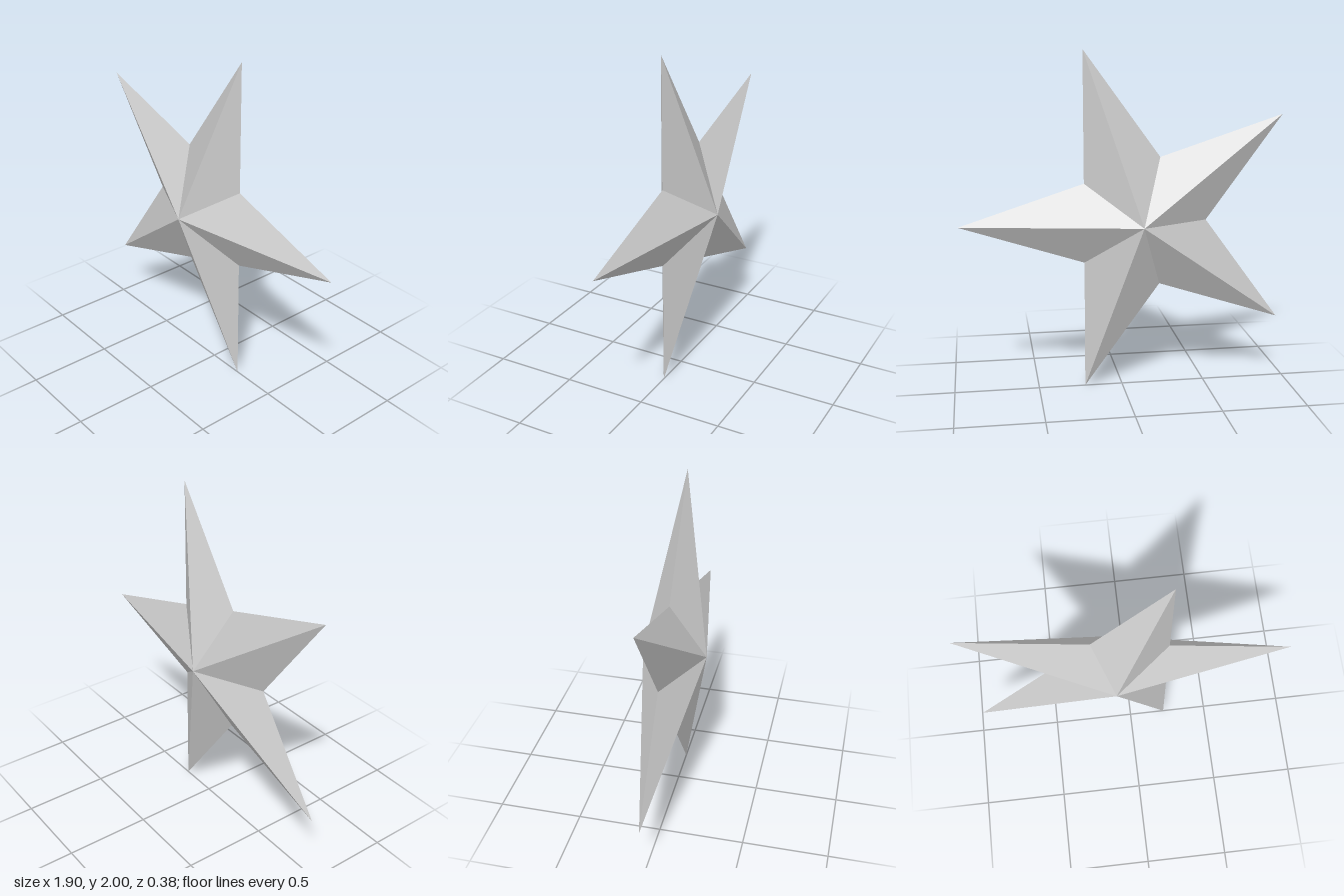
import * as THREE from 'three';

const TIP_RADIUS = 1.0515, NOTCH_RADIUS = 0.4, HALF_DEPTH = 0.188, POINTS = 5;

// Faceted star: an outline in the xy plane joined to a front and a back apex.
function starGeometry() {
  const count = POINTS * 2;
  const positions = [];
  const index = [];
  for (let i = 0; i < count; i++) {
    const angle = (i / count) * Math.PI * 2;
    const radius = i % 2 === 0 ? TIP_RADIUS : NOTCH_RADIUS;
    positions.push(Math.cos(angle) * radius, Math.sin(angle) * radius, 0);
  }
  positions.push(0, 0, HALF_DEPTH, 0, 0, -HALF_DEPTH);
  const front = count, back = count + 1;
  for (let i = 0; i < count; i++) {
    const next = (i + 1) % count;
    index.push(front, i, next, back, next, i);
  }
  const indexed = new THREE.BufferGeometry();
  indexed.setAttribute('position', new THREE.Float32BufferAttribute(positions, 3));
  indexed.setIndex(index);
  const geometry = indexed.toNonIndexed(); // separate facets keep every ridge sharp
  geometry.computeVertexNormals();
  return geometry;
}

export function createModel() {
  const group = new THREE.Group();
  group.name = 'fivePointedStar';
  const material = new THREE.MeshStandardMaterial({ color: 0xcccccc, flatShading: true });
  const star = new THREE.Mesh(starGeometry(), material);
  star.name = 'starBody';
  // One point faces +x, so the hub sits left of the middle of the outline.
  star.position.set(-0.1015, 1, 0);
  group.add(star);
  return group;
}
